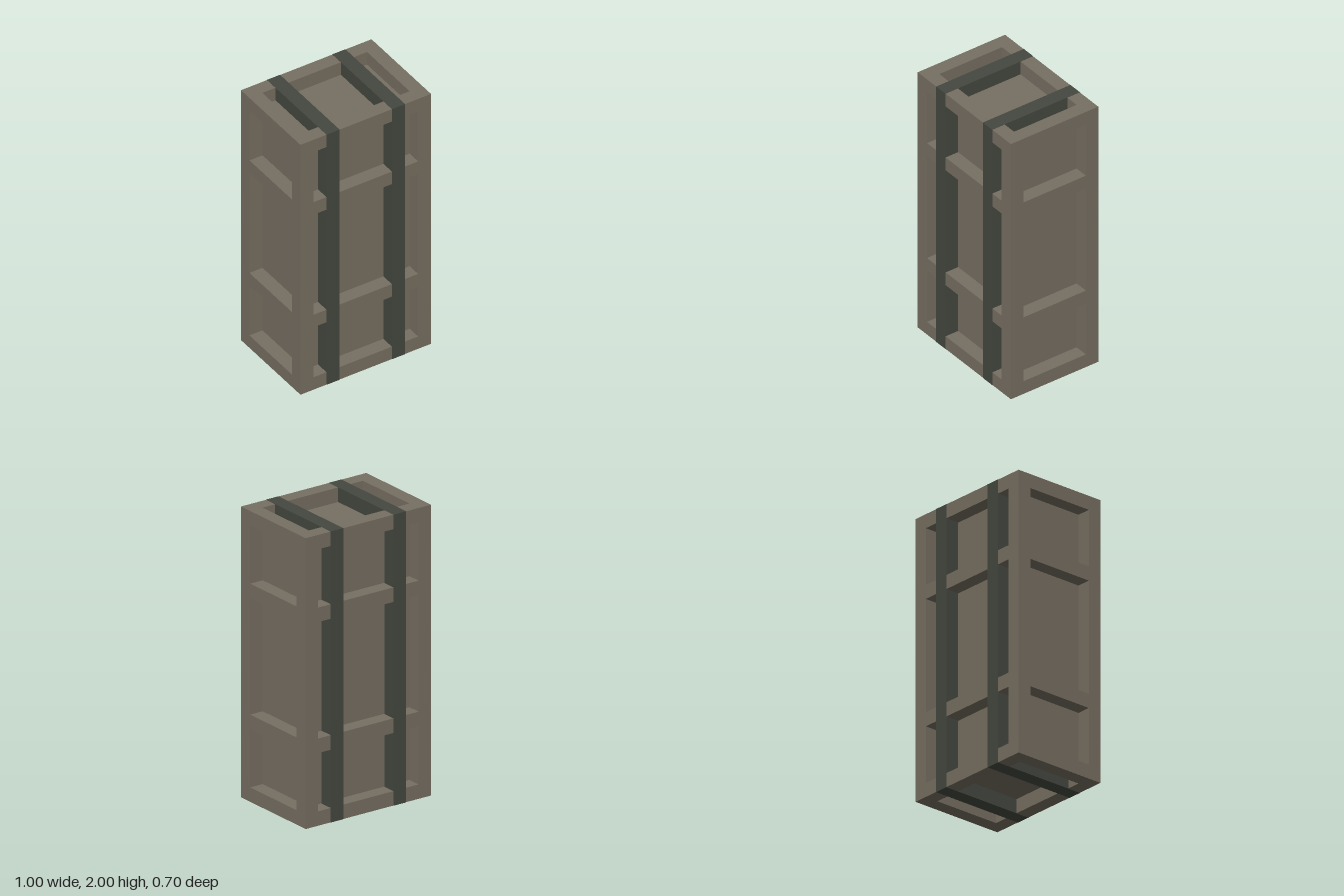
import * as THREE from 'three';
import { mergeGeometries } from 'three/addons/utils/BufferGeometryUtils.js';

const W = 1, H = 2, D = 0.7;   // overall size
const T = 0.1;                 // frame width and recess depth
const GAP = 0.001;             // straps stand this far proud of the frame

// rectangle outline centred on (x, y)
function rect(Type, x, y, w, h) {
  return new Type([[-1, -1], [1, -1], [1, 1], [-1, 1]].map(
    ([a, b]) => new THREE.Vector2(x + a * w / 2, y + b * h / 2)));
}

// open, inward-facing tray: four walls and a floor
function tray(x, y, w, h) {
  const g = new THREE.BoxGeometry(w, h, T);
  const index = Array.from(g.index.array);
  index.splice(24, 6);         // drop the cover
  g.setIndex(index.reverse());
  g.clearGroups();
  g.computeVertexNormals();
  g.translate(x, y, -T / 2);
  return g;
}

// one side of the crate: flat frame with sunken panels, facing +z
function panel(w, h, openings) {
  const shape = rect(THREE.Shape, 0, 0, w - 2 * GAP, h - 2 * GAP);
  const trays = openings.map(([y, oh]) => {
    shape.holes.push(rect(THREE.Path, 0, y, w - 2 * T, oh));
    return tray(0, y, w - 2 * T, oh);
  });
  return mergeGeometries([new THREE.ShapeGeometry(shape), ...trays]);
}

export function createModel() {
  const group = new THREE.Group();
  const frameMat = new THREE.MeshStandardMaterial({ color: 0x776f62 });
  frameMat.name = 'crate taupe';
  const strapMat = new THREE.MeshStandardMaterial({ color: 0x454840 });
  strapMat.name = 'strap dark grey';

  const add = (name, geometry, material) => {
    const mesh = new THREE.Mesh(geometry, material);
    mesh.name = name;
    group.add(mesh);
    return mesh;
  };

  // four upright sides, each with three sunken panels [centre, height]
  const three = [[-0.7, 0.4], [0, 0.8], [0.7, 0.4]];
  ['frontSide', 'leftSide', 'backSide', 'rightSide'].forEach((name, i) => {
    const wide = i % 2 === 0;
    const g = panel(wide ? W : D, H, three);
    g.translate(0, H / 2, (wide ? D : W) / 2 - GAP).rotateY(i * Math.PI / 2);
    add(name, g, frameMat);
  });

  // top and bottom, each with a single sunken panel
  for (const s of [1, -1]) {
    const g = panel(W, D, [[0, D - 2 * T]]);
    g.translate(0, 0, H / 2 - GAP).rotateX(-s * Math.PI / 2).translate(0, H / 2, 0);
    add(s > 0 ? 'topSide' : 'bottomSide', g, frameMat);
  }

  // two straps looping round the crate
  for (const s of [1, -1]) {
    const loop = rect(THREE.Shape, 0, H / 2, D, H);
    loop.holes.push(rect(THREE.Path, 0, H / 2, D - 2 * T, H - 2 * T));
    const g = new THREE.ExtrudeGeometry(loop, { depth: T, bevelEnabled: false });
    g.translate(0, 0, -T / 2).rotateY(Math.PI / 2).translate(s * 0.25, 0, 0);
    add(s > 0 ? 'leftStrap' : 'rightStrap', g, strapMat);
  }
  return group;
}
